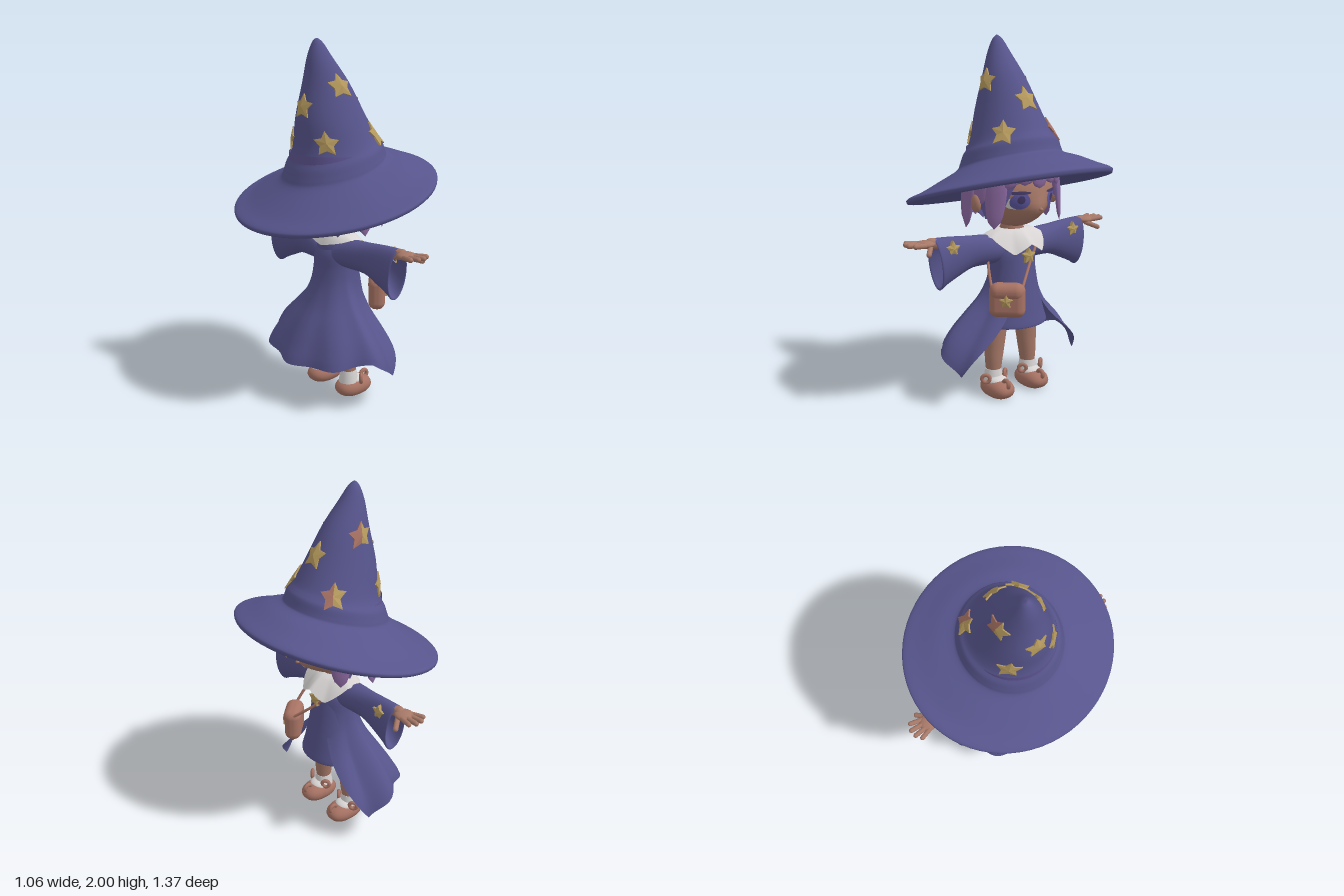
import * as THREE from 'three';
import { RoundedBoxGeometry } from 'three/addons/geometries/RoundedBoxGeometry.js';

const { sin, cos, PI, max, min, abs, sqrt, floor, sign } = Math;
const rad = PI / 180;
const lerp = THREE.MathUtils.lerp;

const mat = (name, color, side = THREE.FrontSide) => {
  const m = new THREE.MeshStandardMaterial({ color, side });
  m.name = name;
  return m;
};

// Smooth interpolation through evenly spaced table rows
function row(table, v) {
  const n = table.length - 1, t = min(max(v, 0), 1) * n, i = min(floor(t), n - 1), f = t - i;
  const [p0, p1, p2, p3] = [max(i - 1, 0), i, i + 1, min(i + 2, n)].map(k => table[k]);
  return p1.map((b, k) => {
    const a = p0[k], c = p2[k], d = p3[k];
    return b + 0.5 * f * (c - a + f * (2 * a - 5 * b + 4 * c - d + f * (3 * (b - c) + d - a)));
  });
}

// Linear interpolation through [x, y] pairs
function pick(pairs, x) {
  let i = 1;
  while (i < pairs.length - 1 && x > pairs[i][0]) i++;
  const [a, b] = [pairs[i - 1], pairs[i]];
  return lerp(a[1], b[1], min(max((x - a[0]) / (b[0] - a[0]), 0), 1));
}

// Grid surface from f(u, v); u runs around, v runs down or outward
function surf(f, nu, nv, closed = true) {
  const pos = [], idx = [], cols = closed ? nu : nu + 1;
  for (let j = 0; j <= nv; j++) for (let i = 0; i < cols; i++) pos.push(...f(i / nu, j / nv));
  for (let j = 0; j < nv; j++) for (let i = 0; i < nu; i++) {
    const a = j * cols + i, c = j * cols + (i + 1) % cols;
    idx.push(a, a + cols, c, a + cols, c + cols, c);
  }
  const g = new THREE.BufferGeometry();
  g.setAttribute('position', new THREE.Float32BufferAttribute(pos, 3));
  g.setIndex(idx);
  g.computeVertexNormals();
  return g;
}

const ball = (x, y, z, rx, ry, rz) => new THREE.SphereGeometry(1, 20, 14).scale(rx, ry, rz).translate(x, y, z);

// Capsule between two points
function limb(p, q, r) {
  const a = new THREE.Vector3(...p), b = new THREE.Vector3(...q), d = b.clone().sub(a);
  const rot = new THREE.Quaternion().setFromUnitVectors(new THREE.Vector3(0, 1, 0), d.clone().normalize());
  const mid = a.add(b).multiplyScalar(0.5);
  return new THREE.CapsuleGeometry(r, d.length(), 5, 10).applyQuaternion(rot).translate(mid.x, mid.y, mid.z);
}

// Mirrored copy across x, with the winding turned back
function mirrored(geo) {
  const g = geo.clone().scale(-1, 1, 1), ix = g.index.array;
  for (let i = 0; i < ix.length; i += 3) [ix[i], ix[i + 1]] = [ix[i + 1], ix[i]];
  g.computeVertexNormals();
  return g;
}

// Faceted five-pointed star in two halves; place(p, q, h) maps it onto a surface
function starGeo(R, place) {
  const pos = [...place(0, 0, 0.016)], idx = [];
  for (const h of [0.008, -0.012]) for (let i = 0; i < 10; i++) {
    const a = PI / 2 + i * PI / 5, r = i % 2 ? R * 0.54 : R;
    pos.push(...place(r * cos(a), r * sin(a), h));
  }
  for (let i = 0; i < 10; i++) {
    const a = 1 + i, b = 1 + (i + 1) % 10;
    idx.push(0, a, b, a, a + 10, b + 10, a, b + 10, b);
  }
  const g = new THREE.BufferGeometry();
  g.setAttribute('position', new THREE.Float32BufferAttribute(pos, 3));
  g.setIndex(idx);
  const flat = g.toNonIndexed();
  flat.computeVertexNormals();
  flat.addGroup(0, 45, 0);
  flat.addGroup(45, 45, 1);
  return flat;
}

// Hat rings from tip to under the brim: height, centre z, half width, half depth, tilt, front lift
const HAT = [
  [2.0, -.12, .004, .004, 0, 0], [1.975, -.115, .03, .03, 0, 0], [1.9, -.10, .065, .07, 0, 0], [1.77, -.06, .115, .13, 0, 0],
  [1.6, -.03, .17, .195, .05, 0], [1.48, -.005, .21, .225, .15, 0], [1.425, 0, .235, .245, .24, 0], [1.39, 0, .262, .264, .27, 0],
  [1.34, 0, .28, .28, .265, 0], [1.307, 0, .3, .297, .265, .01], [1.26, 0, .40, .37, .26, .026], [1.215, 0, .5, .455, .26, .022],
  [1.19, 0, .575, .52, .255, .012], [1.174, 0, .59, .532, .255, .006], [1.157, 0, .57, .515, .255, .005], [1.175, 0, .47, .43, .255, .01],
  [1.215, 0, .33, .31, .255, .01], [1.27, 0, .25, .24, .25, 0]];
function hatPoint(a, v) {
  const [y, cz, rx, rz, tilt, lift] = row(HAT, v), z = cz + rz * cos(a);
  return [rx * sin(a), y + tilt * z + lift * max(0, cos(a)), z];
}
function hatLevel(a, y) {
  let lo = 0, hi = 8 / 17;
  for (let i = 0; i < 24; i++) { const m = (lo + hi) / 2; if (hatPoint(a, m)[1] > y) lo = m; else hi = m; }
  return lo;
}

// Head surface, shared by the face details
const headWidth = y => 0.22 - max(0, 1.16 - y) * 0.22;
const faceZ = (x, y) => 0.02 + 0.22 * sqrt(max(0, 1 - (x / headWidth(y)) ** 2 - ((y - 1.16) / 0.2) ** 2))
  + 0.035 * Math.exp(-(((y - 1.07) / 0.06) ** 2) - (x / 0.07) ** 2);
const facePatch = (cx, cy, rx, ry, off) => surf((u, v) => {
  const x = cx - rx * v * sin(u * 2 * PI), y = cy + ry * v * cos(u * 2 * PI);
  return [x, y, faceZ(x, y) + off];
}, 24, 5);

// Hair shell position
const hairPoint = (a, y, k = 1) => {
  const t = (1.4 - y) / 0.4;
  return [lerp(.24, .285, t) * sin(a) * k, y, (cos(a) > 0 ? .25 : lerp(.25, .215, t * t)) * cos(a) * k];
};
const lock = (a, top, tip, w, bend) => surf((u, v) => {
  const t = u * 2 * PI, p = sqrt(max(0, 1 - v ** 3)) * min(1, 0.6 + v);
  return hairPoint(a + w * p * sin(t) + bend * v * v, lerp(top, tip, v), 1 + 0.07 * p * cos(t));
}, 14, 10);

export function createModel() {
  const blue = mat('robe blue', 0x56548b, THREE.DoubleSide), skin = mat('skin', 0xa67867);
  const leather = mat('leather', 0xa67263, THREE.DoubleSide), purple = mat('hair purple', 0x8a689f, THREE.DoubleSide);
  const indigo = mat('hair shade', 0x5f5592, THREE.DoubleSide), gold = mat('star gold', 0xb69a5e, THREE.DoubleSide);
  const white = mat('cloth white', 0xd6d3d2, THREE.DoubleSide), iris = mat('eye blue', 0x5d57a0), dark = mat('lash dark', 0x453a68);

  const figure = new THREE.Group();
  figure.name = 'figure';
  const add = (name, geo, m) => {
    const mesh = new THREE.Mesh(geo, m);
    mesh.name = name;
    figure.add(mesh);
  };
  const pair = (name, geo, m) => { add(name + 'Left', geo, m); add(name + 'Right', mirrored(geo), m); };

  // Hat with its ring of stars, two of them half worn to brown
  add('hat', surf((u, v) => hatPoint(u * 2 * PI, v), 64, 68), blue);
  const worn = [leather, gold];
  const hatStars = [[0, 1.66, gold], [180, 1.65, gold], [92, 1.755, worn], [-92, 1.755, gold],
    [49, 1.49, worn], [-49, 1.49, gold], [138, 1.465, gold], [-138, 1.465, gold]];
  for (const [deg, y, m] of hatStars) {
    const a0 = deg * rad, r = row(HAT, hatLevel(a0, y))[2];
    add('hatStar', starGeo(0.067, (p, q, h) => {
      const a = a0 + p / r, [x, py, z] = hatPoint(a, hatLevel(a, y + q));
      return [x + h * sin(a), py + h * 0.35, z + h * cos(a)];
    }), m);
  }

  // Head and face
  add('head', surf((u, v) => {
    const y = 1.16 + 0.2 * cos(v * PI), a = u * 2 * PI, x = headWidth(y) * sin(v * PI) * sin(a);
    return [x, y, cos(a) > 0 ? faceZ(x, y) : 0.02 + 0.22 * sin(v * PI) * cos(a)];
  }, 40, 28), skin);
  add('neck', new THREE.CylinderGeometry(.06, .07, .16, 20).translate(0, .94, .01), skin);
  add('nose', ball(0, 1.083, .262, .011, .01, .012), skin);
  add('mouth', facePatch(0, 1.035, .018, .004, .004), leather);
  pair('ear', ball(.268, 1.115, .045, .025, .05, .035), skin);
  pair('eyeWhite', facePatch(.12, 1.12, .046, .034, .004), white);
  pair('iris', facePatch(.104, 1.132, .046, .046, .007), iris);
  pair('pupil', facePatch(.102, 1.138, .018, .022, .009), dark);
  pair('eyelash', facePatch(.108, 1.175, .056, .009, .009), dark);

  // Hair: shaded shell under overlapping locks, falling beside the cheeks
  const hem = [[0, 1.26], [32, 1.22], [46, 1.06], [64, 1.03], [72, 1.1], [86, 1.1], [98, 1.03], [180, 1.01]];
  add('hairShell', surf((u, v) => {
    const a = u * 2 * PI, d = abs((u > .5 ? u - 1 : u) * 360);
    return hairPoint(a, lerp(1.4, pick(hem, d), v));
  }, 72, 12), indigo);
  for (let i = -2; i <= 2; i++) add('bangs', lock(i * 0.32, 1.34, 1.195 + 0.02 * (abs(i) % 2), .24, i * .03), purple);
  pair('sideLock', lock(.95, 1.33, .985, .25, -.02), purple);
  pair('cheekLock', lock(1.28, 1.32, 1.1, .22, .04), purple);
  for (let i = 0; i < 5; i++)
    pair('backLock', lock(1.74 + i * .33, 1.31, 0.975 + .025 * (i % 2), .28, i % 2 ? .08 : -.04), i > 1 && i % 2 === 0 ? indigo : purple);

  // Dress
  const DRESS = [[.95, .06, .05], [.9, .115, .1], [.8, .12, .115], [.65, .14, .135], [.5, .175, .16], [.42, .2, .175], [.425, .18, .16], [.5, .1, .1]];
  add('dress', surf((u, v) => {
    const [y, rx, rz] = row(DRESS, v), a = u * 2 * PI;
    return [rx * sin(a), y, .02 + rz * cos(a)];
  }, 40, 35), blue);

  // Open coat, flaring into a rippled hem
  const COAT = [[.07, .06], [.13, .11], [.135, .12], [.15, .14], [.2, .18], [.29, .24], [.38, .295], [.43, .34]];
  const coatHem = [[0, .18], [78, .18], [90, .23], [108, .3], [140, .26], [180, .24]];
  add('coat', surf((u, v) => {
    const open = 15 + 63 * v ** 1.6, d = lerp(open, 360 - open, u), a = d * rad;
    const low = pick(coatHem, min(d, 360 - d)), [rx, rz] = row(COAT, v);
    const k = 1 + .045 * v * v * cos(9 * a + PI);
    return [rx * k * sin(a), lerp(.94, low, v), .015 + rz * k * cos(a)];
  }, 90, 28, false), blue);

  // Collar with two front points, sloping down to the front
  const collarHem = [[0, .88], [32, .825], [75, .915], [110, .925], [180, .88]];
  add('collar', surf((u, v) => {
    const a = u * 2 * PI, d = min(u, 1 - u) * 360, front = cos(a) > 0;
    return [lerp(.07, .18, sqrt(v)) * sin(a), lerp(.952, pick(collarHem, d), v), .01 + lerp(.07, front ? .178 : .11, v ** .75) * cos(a)];
  }, 72, 10), white);
  add('collarStar', starGeo(.045, (p, q, h) => [p + .005, q + .81, .155 + h]), gold);

  // Wide sleeves: reach, top, bottom, half depth
  const SLEEVE = [[.06, .9, .76, .08], [.16, .925, .76, .075], [.28, .935, .757, .06], [.38, .945, .72, .06], [.46, .95, .685, .066],
    [.495, .95, .665, .07], [.5, .945, .675, .062], [.475, .935, .7, .055], [.4, .92, .8, .04]];
  pair('sleeve', surf((u, v) => {
    const [x, top, bot, rz] = row(SLEEVE, v), a = u * 2 * PI;
    return [x + .024 * cos(a) * v, (top + bot) / 2 + (top - bot) / 2 * cos(a), -rz * sin(a)];
  }, 32, 32), blue);
  for (const s of [-1, 1]) add('sleeveStar', starGeo(.045, (p, q, h) => [p + s * .425, q + .89, .05 + h]), gold);

  // Hands
  pair('wrist', limb([.36, .9, 0], [.53, .925, 0], .03), skin);
  pair('palm', ball(.565, .925, 0, .055, .022, .05), skin);
  [[-.055, .645], [-.022, .667], [.015, .67], [.05, .653]].forEach(([z, x]) =>
    pair('finger', limb([.58, .925, z * .65], [x, .932, z], .0135), skin));
  pair('thumb', limb([.55, .912, .03], [.595, .888, .085], .014), skin);

  // Legs, socks and curled shoes
  const LEG = [[.5, .1, .068, .065], [.4, .108, .068, .064], [.28, .116, .058, .055], [.2, .122, .05, .05], [.1, .125, .038, .04]];
  pair('leg', surf((u, v) => {
    const [y, x, rx, rz] = row(LEG, v), a = u * 2 * PI;
    return [x + rx * sin(a), y, rz * cos(a)];
  }, 24, 16), skin);
  pair('sock', new THREE.CylinderGeometry(.046, .058, .085, 20).translate(.125, .107, 0), white);
  pair('sockFront', ball(.125, .083, .035, .058, .03, .056), white);
  const shoe = new THREE.SphereGeometry(1, 28, 18), sp = shoe.attributes.position;
  const squared = q => sign(q) * abs(q) ** .8;
  for (let i = 0; i < sp.count; i++)
    sp.setXYZ(i, .125 + squared(sp.getX(i)) * .075, max(0, .042 + sp.getY(i) * .056), .037 + squared(sp.getZ(i)) * .114);
  shoe.computeVertexNormals();
  pair('shoe', shoe, leather);
  pair('toeCurl', new THREE.TorusGeometry(.022, .012, 8, 20).rotateY(PI / 2).translate(.125, .085, .12), leather);
  for (const x of [.065, .2])
    pair('shoeLoop', new THREE.TorusGeometry(.022, .011, 8, 20).rotateY(x > .1 ? .7 : -.7).translate(x, .108, .03), leather);

  // Satchel hung across the body
  const bag = new THREE.Group();
  bag.name = 'satchel';
  const part = (name, geo, m) => { const mesh = new THREE.Mesh(geo, m); mesh.name = name; bag.add(mesh); };
  part('pouch', new RoundedBoxGeometry(.196, .185, .094, 5, .042), leather);
  part('flap', new RoundedBoxGeometry(.188, .095, .104, 5, .045).translate(0, .048, .003), leather);
  part('pouchStar', starGeo(.038, (p, q, h) => [p, q + .004, .052 + h]), gold);
  bag.position.set(-.165, .595, .18);
  bag.rotation.y = -PI / 4;
  figure.add(bag);
  const strap = [[-.225, .66, .12], [-.2, .76, .06], [-.13, .89, -.03], [0, .92, -.06], [.1, .91, .03], [.085, .86, .115], [.02, .78, .152], [-.105, .66, .235]];
  add('strap', new THREE.TubeGeometry(new THREE.CatmullRomCurve3(strap.map(p => new THREE.Vector3(...p))), 50, .008, 8), leather);

  // The figure faces along +x
  figure.rotation.y = PI / 2;
  const model = new THREE.Group();
  model.name = 'littleWitch';
  model.add(figure);
  return model;
}
